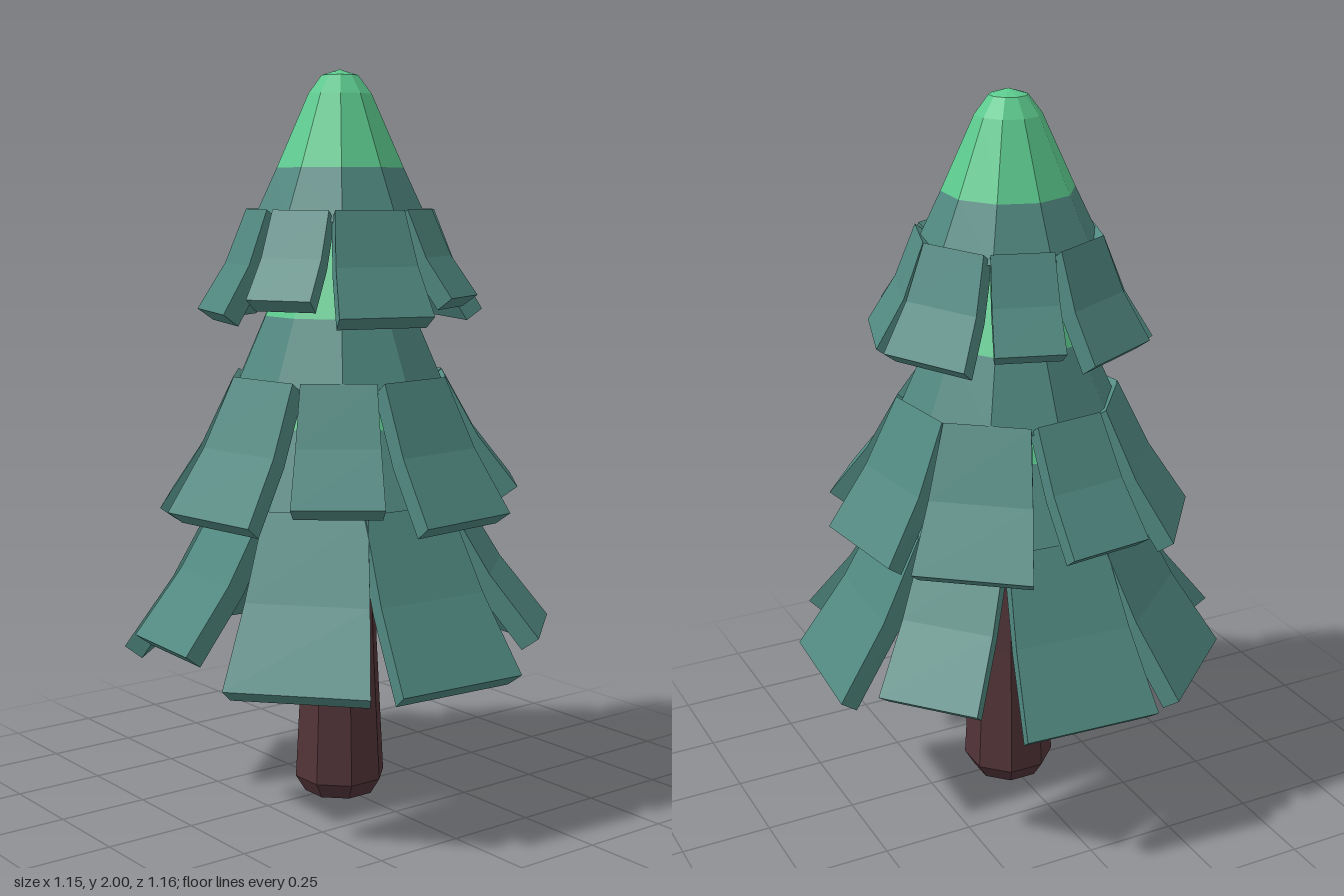
import * as THREE from 'three';

const mat = (name, color, opts = {}) => {
  const m = new THREE.MeshStandardMaterial({ color, flatShading: true, ...opts });
  m.name = name;
  return m;
};

const lathe = (points, sides, turn = 0) =>
  new THREE.LatheGeometry(points.map(([r, y]) => new THREE.Vector2(r, y)), sides, turn);

// Slab that hangs outward: a box bent along three stations of [radius, height, halfWidth]
function flapGeometry(stations, thick) {
  const geo = new THREE.BoxGeometry(1, 1, 1, 1, 2, 1);
  const p = geo.attributes.position;
  for (let i = 0; i < p.count; i++) {
    const [r, y, w] = stations[Math.round((0.5 - p.getY(i)) * 2)];
    const inner = p.getZ(i) < 0;
    p.setXYZ(i,
      Math.sign(p.getX(i)) * w * (inner ? 0.95 : 1),
      y - (inner ? thick * 0.6 : 0),
      r - (inner ? thick * 0.8 : 0));
  }
  const flat = geo.toNonIndexed();
  flat.computeVertexNormals();
  return flat;
}

// angle: direction of the first flap in degrees, from +x towards +z
const TIERS = [
  { name: 'lowerTier', angle: 3.6, narrow: [1, 4, 7], capY: 1.05, capR: 0.23, capH: 0.36,
    slotY: 0.83, slotR: 0.32, endR: 0.568, wideY: 0.432, narrowY: 0.497,
    wide: [0.138, 0.19], slim: [0.118, 0.14], thick: 0.057 },
  { name: 'middleTier', angle: -7, narrow: [1, 3, 6], capY: 1.345, capR: 0.212, capH: 0.32,
    slotY: 1.165, slotR: 0.285, endR: 0.481, wideY: 0.835, narrowY: 0.888,
    wide: [0.116, 0.16], slim: [0.1, 0.12], thick: 0.053 },
  { name: 'upperTier', angle: -27, narrow: [2, 4, 7], capY: 1.74, capR: 0.178, capH: 0.26,
    slotY: 1.61, slotR: 0.236, endR: 0.366, wideY: 1.36, narrowY: 1.402,
    wide: [0.096, 0.13], slim: [0.082, 0.092], thick: 0.052 },
];

export function createModel() {
  const tree = new THREE.Group();
  tree.name = 'pineTree';
  const needles = mat('needle green', 0x508880);
  const tip = mat('tip green', 0x5cca8e);
  const bark = mat('bark brown', 0x523438);

  const add = (parent, name, geo, material) => {
    const mesh = new THREE.Mesh(geo, material);
    mesh.name = name;
    parent.add(mesh);
    return mesh;
  };

  // Trunk with a bevelled foot
  add(tree, 'trunk',
    lathe([[0, 0], [0.1, 0], [0.128, 0.045], [0.108, 0.42], [0.09, 0.95], [0, 0.95]], 8, Math.PI / 8), bark);

  for (const t of TIERS) {
    const tier = new THREE.Group();
    tier.name = t.name;
    tree.add(tier);

    // Bright rounded cap
    add(tier, 'cap', lathe([
      [t.capR, t.capY], [t.capR * 0.5, t.capY + t.capH * 0.75],
      [t.capR * 0.29, t.capY + t.capH * 0.94], [0, t.capY + t.capH],
    ], 10), tip);

    // Hollow cone under the cap, open below
    const rim = t.slotR * 1.04;
    add(tier, 'cone', lathe([
      [0, t.capY], [rim - 0.07, t.slotY - 0.02], [rim, t.slotY - 0.01], [t.capR, t.capY],
    ], 10), needles);

    // Ring of eight hanging flaps, wide and narrow
    const makeFlap = ([w0, w1], endY) => flapGeometry([
      [t.slotR, t.slotY + 0.02, w0],
      [(t.slotR + t.endR) / 2 - 0.01, (t.slotY + endY) / 2, (w0 + w1) / 2],
      [t.endR, endY, w1],
    ], t.thick);
    const wide = makeFlap(t.wide, t.wideY);
    const slim = makeFlap(t.slim, t.narrowY);
    for (let k = 0; k < 8; k++) {
      const isSlim = t.narrow.includes(k);
      const flap = add(tier, isSlim ? 'narrowFlap' : 'wideFlap', isSlim ? slim : wide, needles);
      flap.rotation.y = THREE.MathUtils.degToRad(90 - t.angle - 45 * k);
    }
  }
  return tree;
}
